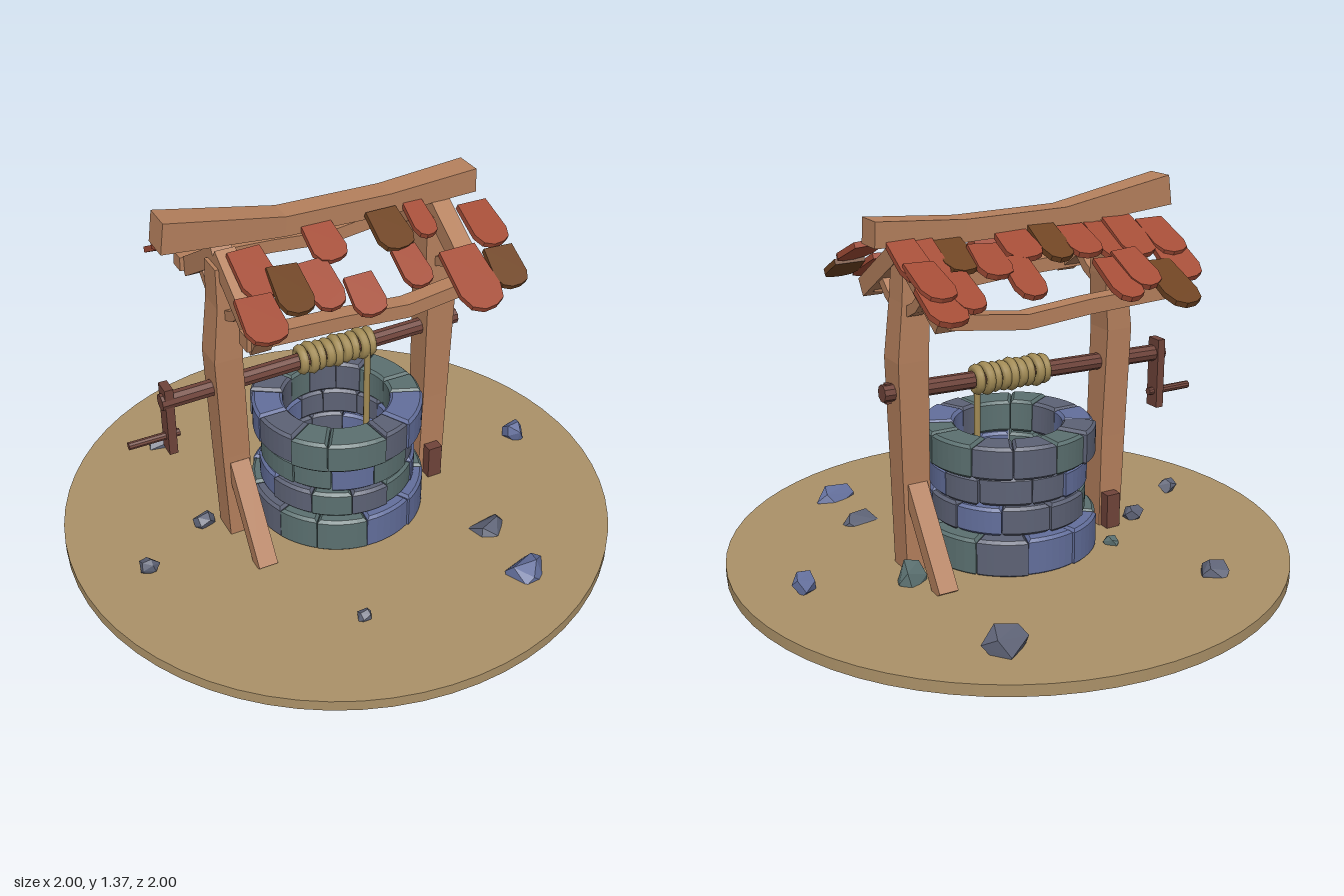
import * as THREE from 'three';
import { ConvexGeometry } from 'three/addons/geometries/ConvexGeometry.js';

const mat = (name, color) => Object.assign(new THREE.MeshStandardMaterial({ color }), { name });
const ground = mat('sand', 0xab9168);
const wood = mat('light wood', 0xb5805d);
const darkWood = mat('dark wood', 0x70443a);
const terracotta = mat('terracotta', 0xa44d37);
const brown = mat('brown tile', 0x6f4423);
const blue = mat('blue stone', 0x636f9c);
const slate = mat('slate stone', 0x5d6275);
const green = mat('green stone', 0x5b7070);
const rope = mat('rope', 0xa38c56);

const V = (x, y, z) => new THREE.Vector3(x, y, z);

function seeded(seed) {
  return () => {
    seed = (seed * 16807) % 2147483647;
    return seed / 2147483647;
  };
}

const flat = (geo) => {
  const g = geo.index ? geo.toNonIndexed() : geo;
  g.computeVertexNormals();
  return g;
};

// Rectangular timber swept along points; sizes are [along side, across side] per point
function beamGeometry(points, sizes, side) {
  const rings = points.map((p, i) => {
    const t = points[Math.min(i + 1, points.length - 1)].clone().sub(points[Math.max(i - 1, 0)]).normalize();
    const n = t.clone().cross(side).normalize();
    const [w, h] = sizes[i] || sizes[0];
    return [[-1, -1], [1, -1], [1, 1], [-1, 1]].map(([a, b]) =>
      p.clone().addScaledVector(side, a * w / 2).addScaledVector(n, b * h / 2));
  });
  const tri = [];
  const quad = (a, b, c, d) => tri.push(a, b, c, a, c, d);
  for (let i = 0; i < rings.length - 1; i++) {
    for (let k = 0; k < 4; k++) {
      const j = (k + 1) % 4;
      quad(rings[i][k], rings[i][j], rings[i + 1][j], rings[i + 1][k]);
    }
  }
  const [a, b, c, d] = rings[0];
  quad(d, c, b, a);
  quad(...rings[rings.length - 1]);
  return flat(new THREE.BufferGeometry().setFromPoints(tri));
}

export function createModel() {
  const model = new THREE.Group();
  model.name = 'well';
  const X = V(1, 0, 0), Z = V(0, 0, 1);
  const add = (name, geo, material, pos = [0, 0, 0], parent = model) => {
    const m = new THREE.Mesh(geo, material);
    m.name = name;
    m.position.set(...pos);
    parent.add(m);
    return m;
  };
  const beam = (name, pts, sizes, side, material = wood) =>
    add(name, beamGeometry(pts.map((p) => V(...p)), sizes, side), material);

  // Ground disc
  add('groundDisc', new THREE.CylinderGeometry(1, 1, 0.04, 64), ground, [0, 0.085, 0]);

  // Stone ring in four courses: bottom, top, outer radius, stone count, angle offset
  const wall = new THREE.Group();
  wall.name = 'wellWall';
  model.add(wall);
  const rnd = seeded(4711);
  const palette = [slate, blue, green, slate, blue, slate, green];
  const courses = [[0.1, 0.237, 0.312, 11, 0.1], [0.237, 0.342, 0.28, 11, 0.42], [0.342, 0.445, 0.275, 11, 0.2], [0.445, 0.567, 0.302, 12, 0.05]];
  const bevel = 0.01;
  courses.forEach(([y0, y1, radius, count, offset], row) => {
    const edges = Array.from({ length: count }, (_, i) => offset + (i + (rnd() - 0.5) * 0.35) * 2 * Math.PI / count);
    edges.push(edges[0] + 2 * Math.PI);
    for (let i = 0; i < count; i++) {
      const ro = radius - bevel + (rnd() - 0.5) * 0.014, ri = 0.2;
      const go = (bevel + 0.001) / ro, gi = (bevel + 0.001) / ri;
      const s = new THREE.Shape();
      s.absarc(0, 0, ro, edges[i] + go, edges[i + 1] - go, false);
      s.absarc(0, 0, ri, edges[i + 1] - gi, edges[i] + gi, true);
      const g = new THREE.ExtrudeGeometry(s, {
        depth: y1 - y0 - 2 * bevel - rnd() * 0.006, curveSegments: 3,
        bevelSize: bevel, bevelThickness: bevel, bevelSegments: 1,
      }).rotateX(-Math.PI / 2);
      add('wallStone', flat(g), palette[(i * 3 + row * 2 + Math.floor(rnd() * 3)) % palette.length], [0, y0 + bevel, 0], wall);
    }
  });

  // Posts, their braces and wedges
  const z0 = -0.02;
  beam('rightPost', [[-0.392, 0.1, z0], [-0.4, 0.45, z0], [-0.412, 0.85, z0], [-0.395, 1.05, z0], [-0.395, 1.19, z0]],
    [[0.09, 0.1], [0.1, 0.1], [0.1, 0.11], [0.09, 0.1], [0.085, 0.09]], X);
  beam('leftPost', [[0.385, 0.1, z0], [0.393, 0.45, z0], [0.396, 0.85, z0], [0.38, 1.05, z0], [0.375, 1.19, z0]],
    [[0.1, 0.1], [0.1, 0.1], [0.11, 0.11], [0.1, 0.1], [0.09, 0.09]], X);
  for (const s of [-1, 1]) {
    beam('postBrace', [[s * 0.39, 0.41, z0 - s * 0.03], [s * 0.39, 0.1, z0 - s * 0.25]], [[0.07, 0.055]], X);
    add('postWedge', new THREE.BoxGeometry(0.055, 0.135, 0.04), darkWood, [s * 0.383, 0.167, z0 + s * 0.07]);

    // Gable: rafters and curved tie
    for (const d of [-1, 1]) {
      beam('rafter', [[s * 0.39, 1.215, z0], [s * 0.39, 1.03, z0 + d * 0.29]], [[0.07, 0.065]], X);
    }
    const arc = Array.from({ length: 9 }, (_, i) => {
      const a = Math.PI * (1.12 + 0.76 * i / 8);
      return [s * 0.39, 1.2 + 0.185 * Math.sin(a), z0 + 0.185 * Math.cos(a)];
    });
    beam('curvedTie', arc, [[0.05, 0.035]], X);
  }

  // Sagging purlins and ridge beam
  for (const z of [0.235, -0.325]) {
    beam('purlin', [[-0.44, 1.05, z], [-0.1, 1.035, z], [0.13, 1.015, z], [0.4, 1.05, z]], [[0.06, 0.05]], Z);
  }
  beam('ridgeBeam', [[-0.598, 1.332, -0.04], [-0.18, 1.273, -0.04], [0.2, 1.265, -0.04], [0.525, 1.283, -0.04]],
    [[0.105, 0.105], [0.09, 0.07], [0.09, 0.075], [0.1, 0.085]], Z);

  // Roof tiles: x centre, width, upper and lower distance from the ridge, brown flag
  const front = [
    [-0.34, 0.13, 0.05, 0.22], [-0.25, 0.12, 0.14, 0.31, 1], [-0.385, 0.14, 0.22, 0.375],
    [-0.145, 0.11, 0.14, 0.31], [-0.075, 0.12, 0.03, 0.165], [0.155, 0.13, 0.04, 0.185, 1],
    [0.17, 0.1, 0.17, 0.31], [0.28, 0.08, 0.03, 0.165], [0.475, 0.13, 0.09, 0.255],
    [0.345, 0.15, 0.22, 0.44], [0.48, 0.12, 0.255, 0.395, 1], [-0.03, 0.11, 0.235, 0.37]];
  const back = [
    [-0.395, 0.13, 0.25, 0.465, 1], [-0.49, 0.13, 0.16, 0.345], [-0.3, 0.11, 0.2, 0.37], [-0.225, 0.11, 0.21, 0.4],
    [-0.5, 0.12, 0.06, 0.245], [-0.375, 0.13, 0.04, 0.225], [-0.3, 0.13, 0.04, 0.225], [-0.18, 0.12, 0.05, 0.2],
    [-0.075, 0.11, 0.02, 0.2, 1], [0.04, 0.13, 0.03, 0.175], [0.1, 0.11, 0.16, 0.335], [0.18, 0.12, 0.1, 0.245],
    [0.28, 0.12, 0.03, 0.195, 1], [0.375, 0.11, 0.04, 0.22], [0.44, 0.11, 0.03, 0.21], [0.33, 0.1, 0.19, 0.365],
    [0.435, 0.13, 0.25, 0.41], [0.43, 0.12, 0.15, 0.325]];
  const pitch = 0.46;
  [[front, 1], [back, -1]].forEach(([tiles, dir]) => {
    const slope = new THREE.Group();
    slope.name = dir > 0 ? 'frontTiles' : 'backTiles';
    slope.position.z = -0.035;
    slope.rotation.y = dir > 0 ? 0 : Math.PI;
    model.add(slope);
    tiles.forEach(([x, w, d0, d1, dark], i) => {
      const l = (d1 - d0) / Math.cos(pitch), h = w / 2;
      const shape = new THREE.Shape([[-h * 0.88, 0], [-h, -l * 0.72], [-h * 0.75, -l * 0.92], [-h * 0.25, -l],
        [h * 0.35, -l * 0.98], [h * 0.8, -l * 0.9], [h, -l * 0.7], [h * 0.88, 0]].map(([a, b]) => new THREE.Vector2(a, b)));
      const g = new THREE.ExtrudeGeometry(shape, { depth: 0.02, bevelEnabled: false });
      const tile = add('roofTile', g, dark ? brown : terracotta,
        [x * dir, 1.25 - 0.49 * d0 + (i % 3) * 0.007, d0], slope);
      tile.rotation.set(pitch - Math.PI / 2 + (rnd() - 0.5) * 0.12, (rnd() - 0.5) * 0.14, (rnd() - 0.5) * 0.12);
    });
  });

  // Windlass: axle, end peg, crank and handle
  const rod = (name, r, x0, x1, ya, yb, z, material) => {
    const m = add(name, flat(new THREE.CylinderGeometry(r, r, Math.hypot(x1 - x0, yb - ya), 10)), material, [(x0 + x1) / 2, (ya + yb) / 2, z]);
    m.rotation.z = Math.atan2(yb - ya, x1 - x0) - Math.PI / 2;
  };
  rod('axle', 0.03, -0.64, 0.488, 0.72, 0.742, z0, darkWood);
  add('axlePeg', new THREE.BoxGeometry(0.018, 0.07, 0.02), darkWood, [0.468, 0.74, z0]);
  add('crankArm', new THREE.BoxGeometry(0.03, 0.26, 0.06), darkWood, [-0.615, 0.646, -0.025]);
  rod('crankHandle', 0.014, -0.76, -0.58, 0.575, 0.575, -0.028, darkWood);

  // Coiled and hanging rope
  for (let i = 0; i < 9; i++) {
    const coil = add('ropeCoil', new THREE.TorusGeometry(i % 3 === 1 ? 0.042 : 0.037, 0.017, 8, 20), rope,
      [-0.125 + i * 0.0325, 0.735, z0]);
    coil.rotation.y = Math.PI / 2 + (i % 2 ? 0.06 : -0.06);
  }
  add('hangingRope', new THREE.CylinderGeometry(0.012, 0.012, 0.66, 8), rope, [0.112, 0.39, 0.02]);

  // Scattered rocks: centre, size, colour
  const rocks = [
    [0.4, 0.12, -0.68, 0.17, 0.14, 0.14, slate], [-0.475, 0.105, -0.59, 0.12, 0.11, 0.11, slate],
    [0.79, 0.125, -0.01, 0.09, 0.09, 0.11, blue], [-0.765, 0.125, 0.07, 0.08, 0.07, 0.06, slate],
    [-0.205, 0.115, 0.61, 0.06, 0.05, 0.05, slate], [0.4, 0.1, 0.67, 0.18, 0.12, 0.14, blue],
    [0.41, 0.08, 0.41, 0.16, 0.13, 0.15, slate], [0.45, 0.1, -0.13, 0.12, 0.18, 0.13, green],
    [-0.5, 0.12, -0.07, 0.09, 0.07, 0.07, slate], [-0.3, 0.11, -0.22, 0.06, 0.05, 0.06, green]];
  rocks.forEach(([x, y, z, w, h, d, material]) => {
    const pts = Array.from({ length: 13 }, (_, i) => {
      const v = 1 - 2 * (i + 0.5) / 13, a = i * 2.4 + rnd() * 0.9, r = Math.sqrt(1 - v * v), k = 0.9 + rnd() * 0.2;
      return V(r * Math.cos(a) * w / 2 * k, v * h / 2 * k, r * Math.sin(a) * d / 2 * k);
    });
    add('rock', new ConvexGeometry(pts), material, [x, y, z]);
  });

  return model;
}
